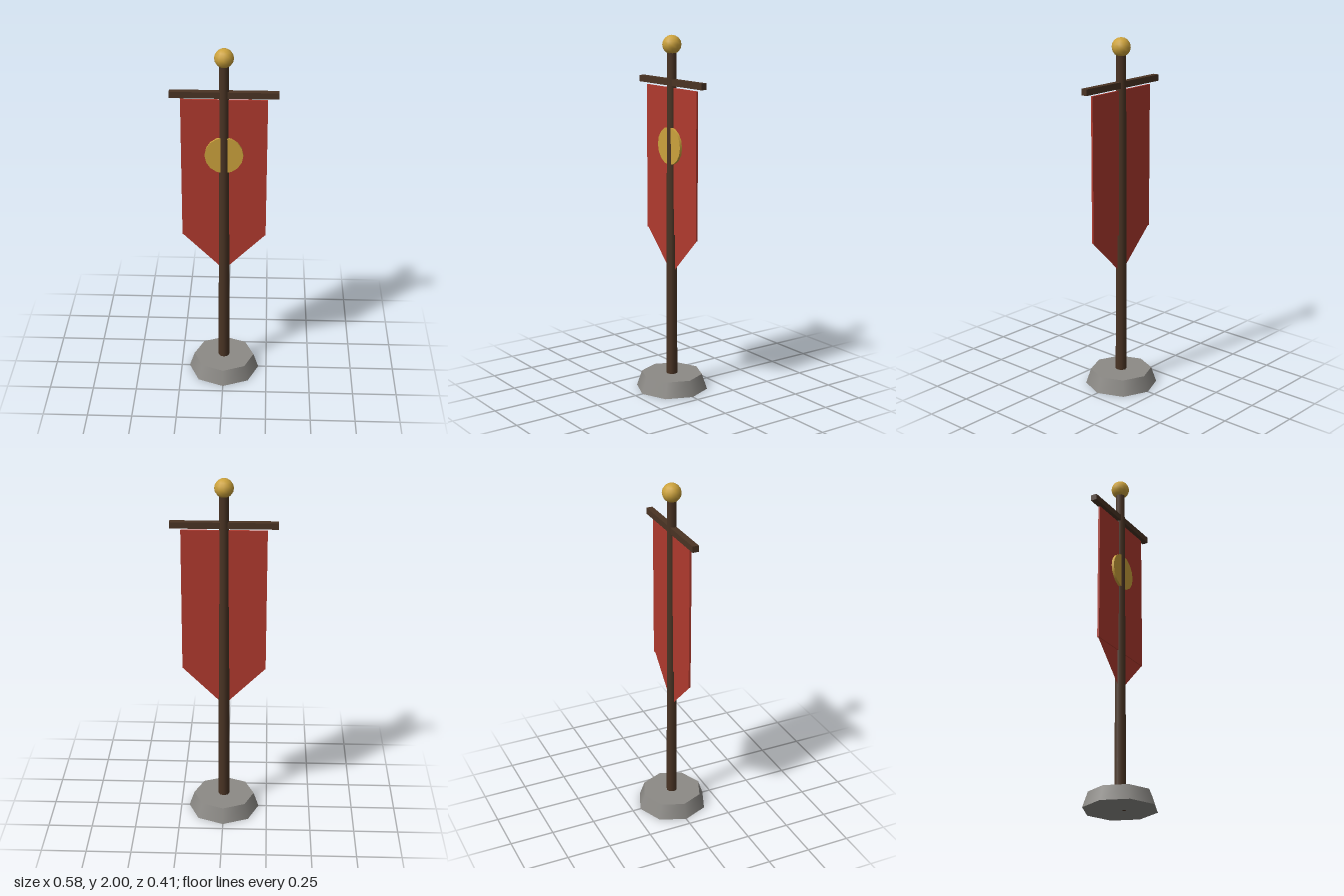
import * as THREE from 'three';

const material = (name, color, extra = {}) => {
  const m = new THREE.MeshStandardMaterial({ color, ...extra });
  m.name = name;
  return m;
};

export function createModel() {
  const stone = material('grey stone', 0x8c8a86);
  const wood = material('dark wood', 0x4a3424);
  const cloth = material('red cloth', 0xb03a2e, { side: THREE.DoubleSide });
  const gold = material('gold', 0xcca23c);

  const group = new THREE.Group();
  group.name = 'bannerStand';
  const add = (name, geometry, mat, y, z = 0) => {
    const mesh = new THREE.Mesh(geometry, mat);
    mesh.name = name;
    mesh.position.set(0, y, z);
    group.add(mesh);
    return mesh;
  };

  // Octagonal foot, tapered pole and ball finial
  add('base', new THREE.CylinderGeometry(0.174, 0.2035, 0.087, 8), stone, 0.0435);
  add('pole', new THREE.CylinderGeometry(0.0265, 0.032, 1.918, 8), wood, 0.959);
  add('finial', new THREE.SphereGeometry(0.0523, 12, 8), gold, 1.9477);

  // Square crossbar
  add('crossbar', new THREE.BoxGeometry(0.582, 0.035, 0.035), wood, 1.745);

  // Cloth panel with a thin pointed tail below it
  add('banner', new THREE.BoxGeometry(0.465, 0.814, 0.0116), cloth, 1.308);
  const tail = new THREE.Shape([
    new THREE.Vector2(-0.2325, 0),
    new THREE.Vector2(0, -0.231),
    new THREE.Vector2(0.2325, 0),
  ]);
  add('bannerTail', new THREE.ShapeGeometry(tail), cloth, 0.901);

  // Round emblem on the front of the cloth
  const disc = new THREE.CylinderGeometry(0.1047, 0.1047, 0.0174, 16).rotateX(Math.PI / 2);
  add('emblem', disc, gold, 1.397, 0.0116);

  return group;
}
